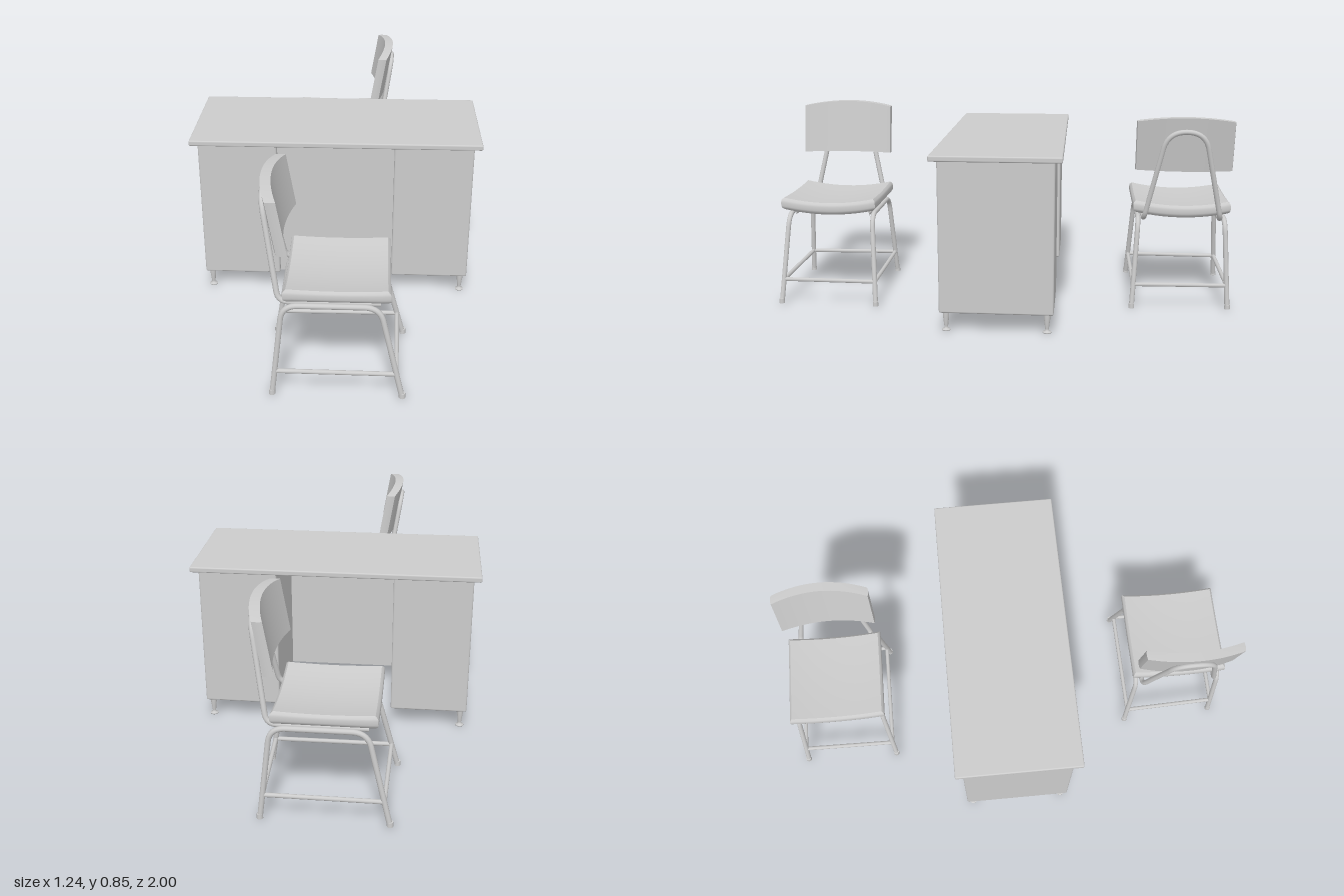
import * as THREE from 'three';
import { RoundedBoxGeometry } from 'three/addons/geometries/RoundedBoxGeometry.js';

const material = new THREE.MeshStandardMaterial({ color: 0xcccccc });
const V = (x, y, z) => new THREE.Vector3(x, y, z);

function add(parent, name, geometry, x = 0, y = 0, z = 0) {
  const mesh = new THREE.Mesh(geometry, material);
  mesh.name = name;
  mesh.position.set(x, y, z);
  parent.add(mesh);
  return mesh;
}

// Steel tube through corner points, with each corner bent to a smooth curve
function bentTube(points, bend, radius, segments) {
  const path = new THREE.CurvePath();
  let start = points[0];
  for (let i = 1; i < points.length - 1; i++) {
    const p = points[i];
    const toward = (q) => p.clone().add(q.clone().sub(p).setLength(bend[i - 1]));
    const a = toward(points[i - 1]), b = toward(points[i + 1]);
    path.add(new THREE.LineCurve3(start, a));
    path.add(new THREE.QuadraticBezierCurve3(a, p, b));
    start = b;
  }
  path.add(new THREE.LineCurve3(start, points[points.length - 1]));
  return new THREE.TubeGeometry(path, segments, radius, 10);
}

// Box whose vertices are moved by a rule
function shapedBox(w, h, d, sx, sy, sz, rule) {
  const geometry = new THREE.BoxGeometry(w, h, d, sx, sy, sz);
  const pos = geometry.attributes.position;
  for (let i = 0; i < pos.count; i++) {
    const p = V().fromBufferAttribute(pos, i);
    rule(p, p.x / (w / 2), p.y / (h / 2), p.z / (d / 2));
    pos.setXYZ(i, p.x, p.y, p.z);
  }
  geometry.computeVertexNormals();
  return geometry;
}

function createDesk() {
  const desk = new THREE.Group();
  desk.name = 'desk';
  add(desk, 'deskTop', new RoundedBoxGeometry(1.24, 0.024, 0.53, 3, 0.006), 0, 0.726, 0);
  add(desk, 'modestyPanel', new THREE.BoxGeometry(0.52, 0.635, 0.016), 0, 0.3975, 0.198);

  // Turned foot: floor disc, neck and tapered leg
  const footProfile = [[0, 0], [0.018, 0], [0.018, 0.004], [0.007, 0.009], [0.008, 0.018],
    [0.013, 0.06], [0.013, 0.085]].map(([r, y]) => new THREE.Vector2(r, y));
  for (const side of [-1, 1]) {
    add(desk, 'pedestal', new RoundedBoxGeometry(0.338, 0.637, 0.47, 3, 0.008),
      side * 0.42, 0.3985, 0);
    for (const end of [-1, 1]) {
      add(desk, 'deskFoot', new THREE.LatheGeometry(footProfile, 16), side * 0.562, 0, end * 0.208);
    }
  }
  return desk;
}

// Chair facing +x, centred on its own z = 0
function createChair() {
  const chair = new THREE.Group();
  chair.name = 'chair';
  const r = 0.011;

  // Seat pad: hollowed across its width, with rounded rims
  const seat = shapedBox(0.4, 0.046, 0.42, 12, 6, 14, (p, u, v, w) => {
    p.x *= 1 - 0.06 * v ** 4;
    p.z *= 1 - 0.05 * v ** 4;
    p.y += 0.022 * (w * w - 0.5) + 0.006 * u * u * (v + 1) / 2;
  });
  add(chair, 'seat', seat, 0.037, 0.428, 0);

  // Backrest: bowed around the sitter, arched on top and leaning back
  const backrest = shapedBox(0.04, 0.215, 0.415, 4, 8, 16, (p, u, v, w) => {
    p.y += 0.02 * (1 - w * w) * (v + 1) / 2;
    p.x += 0.03 * w * w - 0.17 * p.y;
    p.z *= 1 - 0.015 * u * u;
  });
  add(chair, 'backrest', backrest, -0.209, 0.717, 0);

  // Arched tube behind the backrest that runs on under the seat
  const half = [V(0.2, 0.392, 0.165), V(-0.183, 0.392, 0.165), V(-0.246, 0.785, 0.079)];
  const mirrored = half.map((p) => V(p.x, p.y, -p.z)).reverse();
  add(chair, 'backFrame', bentTube([...half, ...mirrored], [0.04, 0.079, 0.079, 0.04], r, 140));

  // Side leg loops
  const corners = {};
  for (const s of [-1, 1]) {
    const rear = V(s > 0 ? -0.212 : -0.23, 0, s * 0.209);
    const front = V(s > 0 ? 0.288 : 0.298, 0, s * 0.213);
    const topRear = V(-0.168, 0.388, s * 0.187);
    const topFront = V(0.197, 0.388, s * 0.187);
    add(chair, 'sideLegs', bentTube([rear, topRear, topFront, front], [0.06, 0.06], r, 90));
    for (const foot of [rear, front]) {
      add(chair, 'legTip', new THREE.CylinderGeometry(0.012, 0.013, 0.02, 12), foot.x, 0.01, foot.z);
    }
    corners[s] = [rear.clone().lerp(topRear, 0.265), front.clone().lerp(topFront, 0.265)];
  }

  // Ring of four stretchers between the legs
  const ring = [corners[1][0], corners[1][1], corners[-1][1], corners[-1][0]];
  ring.forEach((p, i) => {
    const bar = new THREE.LineCurve3(p, ring[(i + 1) % 4]);
    add(chair, 'stretcher', new THREE.TubeGeometry(bar, 1, 0.009, 10));
  });
  return chair;
}

export function createModel() {
  const model = new THREE.Group();
  model.name = 'deskWithTwoChairs';
  model.add(createDesk());
  // One chair on each long side, turned half a turn from each other
  for (const s of [1, -1]) {
    const chair = createChair();
    chair.position.z = s * 0.775;
    chair.rotation.y = s > 0 ? 0 : Math.PI;
    model.add(chair);
  }
  return model;
}
